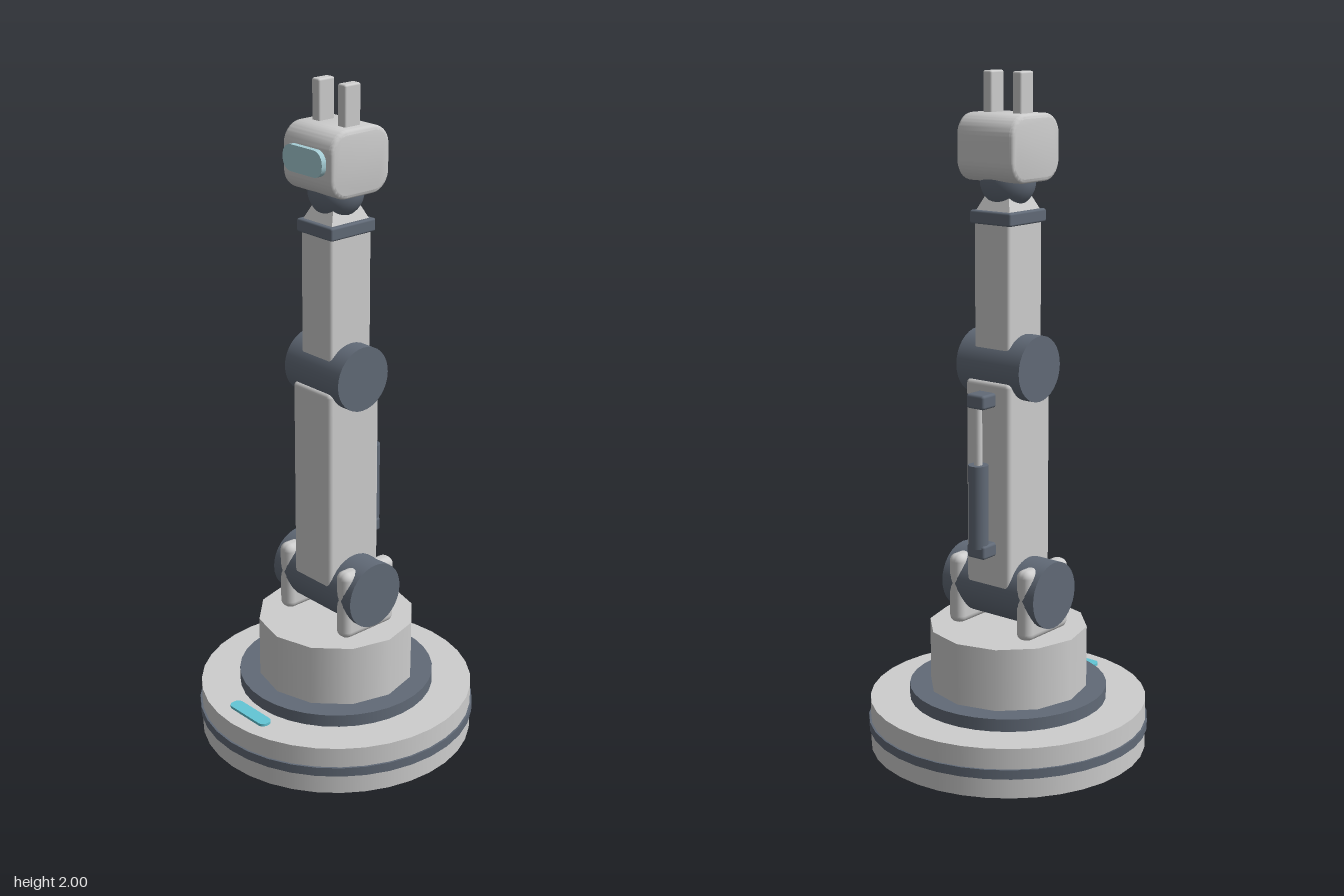
import * as THREE from 'three';
import { RoundedBoxGeometry } from 'three/addons/geometries/RoundedBoxGeometry.js';
import { toCreasedNormals } from 'three/addons/utils/BufferGeometryUtils.js';

const material = (name, color) => {
  const m = new THREE.MeshStandardMaterial({ color });
  m.name = name;
  return m;
};

// Rounded rectangle outline centred on the origin
function roundedRect(w, h, r) {
  const s = new THREE.Shape(), x = w / 2, y = h / 2;
  s.absarc(x - r, y - r, r, 0, Math.PI / 2);
  s.absarc(-x + r, y - r, r, Math.PI / 2, Math.PI);
  s.absarc(-x + r, -y + r, r, Math.PI, Math.PI * 1.5);
  s.absarc(x - r, -y + r, r, Math.PI * 1.5, Math.PI * 2);
  s.closePath();
  return s;
}

export function createModel() {
  const model = new THREE.Group();
  model.name = 'roboticArm';
  const shell = material('light grey shell', 0xcdcdcd);
  const dark = material('slate joints', 0x616a77);
  const cyan = material('cyan light', 0x62c6d6);
  const pale = material('pale blue lens', 0xa5ccd4);

  const add = (name, geometry, mat, x = 0, y = 0, z = 0) => {
    const mesh = new THREE.Mesh(geometry, mat);
    mesh.name = name;
    mesh.position.set(x, y, z);
    model.add(mesh);
    return mesh;
  };
  // Upright cylinder from y0 to y1
  const disc = (name, r, y0, y1, mat, sides = 36, z = 0) =>
    add(name, new THREE.CylinderGeometry(r, r, y1 - y0, sides), mat, 0, (y0 + y1) / 2, z);
  // Rounded box given by width, height range and depth range
  const block = (name, w, y0, y1, z0, z1, r, mat, x = 0) =>
    add(name, new RoundedBoxGeometry(w, y1 - y0, z1 - z0, 3, r), mat, x, (y0 + y1) / 2, (z0 + z1) / 2);
  // Joint drum lying along x
  const drum = (name, r, length, y) => {
    add(name, new THREE.CylinderGeometry(r, r, length, 32), dark, 0, y, 0).rotation.z = Math.PI / 2;
  };

  // Base and turntable
  disc('base', 0.415, 0, 0.15, shell);
  disc('baseBand', 0.421, 0.06, 0.088, dark);
  disc('turntableCollar', 0.296, 0.145, 0.188, dark);
  disc('turret', 0.237, 0.185, 0.375, shell, 12);
  const light = add('statusLight', new THREE.ExtrudeGeometry(roundedRect(0.16, 0.042, 0.018),
    { depth: 0.009, bevelEnabled: false, curveSegments: 6 }), cyan, 0, 0.149, 0.342);
  light.rotation.x = -Math.PI / 2;

  // Shoulder and its brackets
  drum('shoulderJoint', 0.1, 0.345, 0.497);
  for (const side of [-1, 1]) {
    block('shoulderBracket', 0.054, 0.37, 0.585, -0.1, 0.1, 0.023, shell, side * 0.128);
  }

  // Arm segments and elbow
  block('lowerArm', 0.162, 0.48, 1.13, -0.097, 0.097, 0.014, shell);
  drum('elbowJoint', 0.096, 0.23, 1.165);
  block('upperArm', 0.128, 1.17, 1.6, -0.077, 0.077, 0.01, shell);

  // Wrist
  block('wristBand', 0.148, 1.576, 1.614, -0.083, 0.083, 0.006, dark);
  const neck = new THREE.CylinderGeometry(0.055, 0.088, 0.055, 4, 1).toNonIndexed();
  neck.rotateY(Math.PI / 4);
  neck.scale(1, 1, 1.15);
  neck.computeVertexNormals();
  add('wristNeck', neck, shell, 0, 1.636, 0);
  add('wristBall', new THREE.SphereGeometry(0.08, 28, 18), dark, 0, 1.695, 0);

  // Head: side profile extruded across its width
  const bevel = 0.012;
  const head = new THREE.ExtrudeGeometry(roundedRect(0.216 - 2 * bevel, 0.19 - 2 * bevel, 0.048), {
    depth: 0.204 - 2 * bevel, bevelSize: bevel, bevelThickness: bevel, bevelSegments: 3, curveSegments: 8,
  });
  head.translate(0, 0, -(0.204 - 2 * bevel) / 2);
  head.rotateY(Math.PI / 2);
  add('head', toCreasedNormals(head, 0.6), shell, 0, 1.79, 0);

  // Lens on the front of the head
  add('lens', new THREE.ExtrudeGeometry(roundedRect(0.162, 0.075, 0.034),
    { depth: 0.022, bevelEnabled: false, curveSegments: 8 }), pale, 0, 1.797, 0.102);

  // Gripper prongs
  for (const side of [-1, 1]) {
    block('prong', 0.032, 1.87, 2, -0.029, 0.029, 0.006, shell, side * 0.053);
  }

  // Rear actuator
  block('actuatorLowerMount', 0.064, 0.613, 0.655, -0.153, -0.09, 0.008, dark);
  block('actuatorUpperMount', 0.064, 1.058, 1.1, -0.153, -0.09, 0.008, dark);
  disc('actuatorBody', 0.029, 0.645, 0.892, dark, 20, -0.137);
  disc('actuatorRod', 0.012, 0.88, 1.07, shell, 16, -0.137);

  return model;
}
